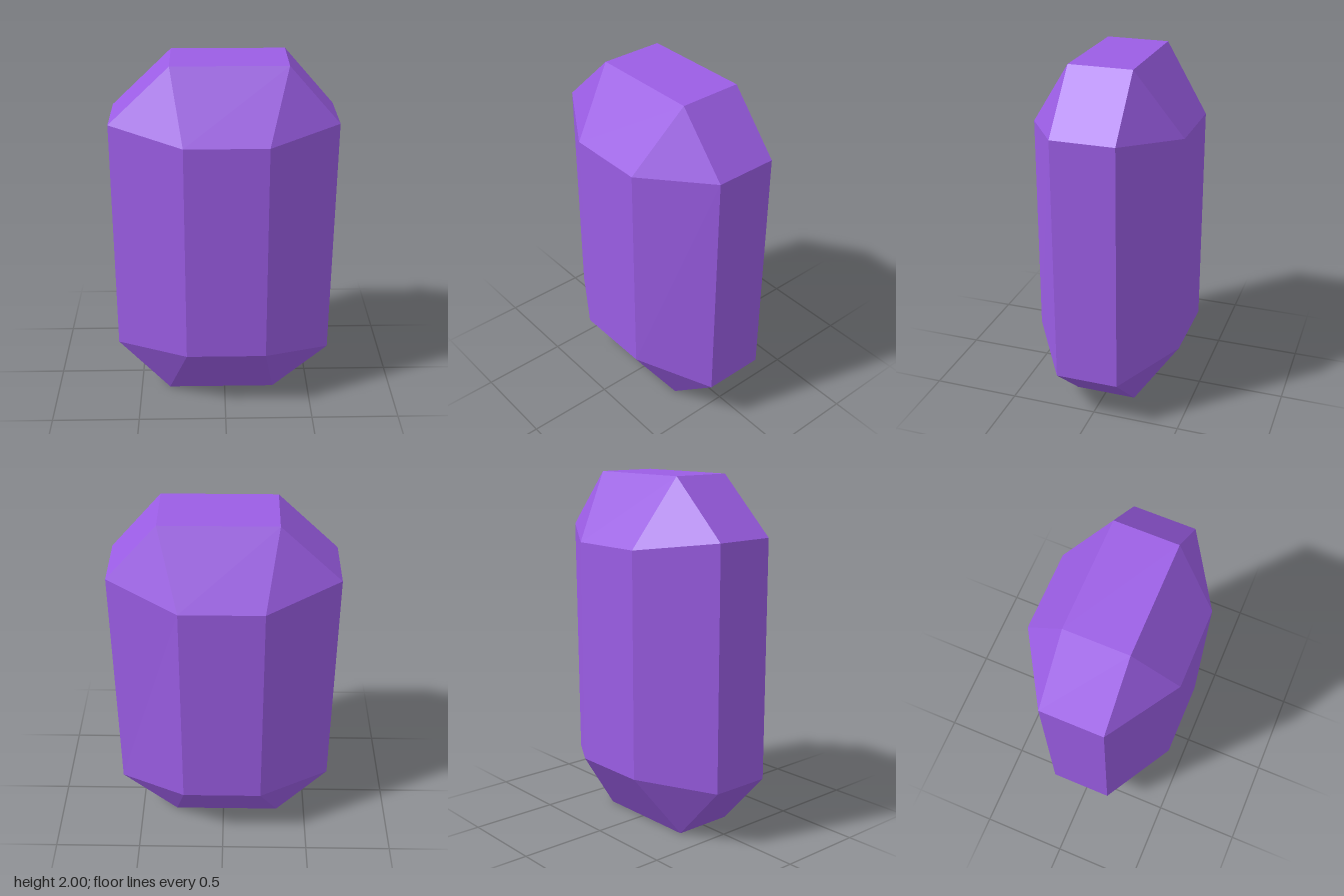
import * as THREE from 'three';

const SIDE_Z = 0.177; // half width of the narrow end faces and of the caps
const FACE_Z = 0.425; // half depth of the broad front and back faces

// Eight-corner girdle ring, counter-clockwise from above
function girdle(left, right, leftY, rightY, frontY, backY) {
  const inL = -0.22, inR = 0.23;
  return [
    [right, rightY, SIDE_Z], [right, rightY, -SIDE_Z],
    [inR, backY, -FACE_Z], [inL, backY, -FACE_Z],
    [left, leftY, -SIDE_Z], [left, leftY, SIDE_Z],
    [inL, frontY, FACE_Z], [inR, frontY, FACE_Z],
  ];
}

// Rectangular cap with doubled corners, so it lines up with the girdle
function cap(left, right, y) {
  const a = [right, y, SIDE_Z], b = [right, y, -SIDE_Z];
  const c = [left, y, -SIDE_Z], d = [left, y, SIDE_Z];
  return [a, b, b, c, c, d, d, a];
}

// Flat facets between stacked rings, closed at both ends
function facetedGeometry(rings) {
  const points = [];
  const tri = (a, b, c) => {
    if (a !== b && b !== c && c !== a) points.push(...a, ...b, ...c);
  };
  for (let k = 0; k < rings.length - 1; k++) {
    const low = rings[k], high = rings[k + 1];
    for (let i = 0; i < 8; i++) {
      const j = (i + 1) % 8;
      tri(low[i], low[j], high[j]);
      tri(low[i], high[j], high[i]);
    }
  }
  const bottom = rings[0], top = rings[rings.length - 1];
  tri(top[0], top[1], top[3]);
  tri(top[0], top[3], top[5]);
  tri(bottom[0], bottom[3], bottom[1]);
  tri(bottom[0], bottom[5], bottom[3]);

  const geometry = new THREE.BufferGeometry();
  geometry.setAttribute('position', new THREE.Float32BufferAttribute(points, 3));
  geometry.computeVertexNormals();
  return geometry;
}

export function createModel() {
  const violet = new THREE.MeshStandardMaterial({ color: 0x9b5de5, flatShading: true });
  violet.name = 'violet';

  const gem = new THREE.Mesh(facetedGeometry([
    cap(-0.33, 0.29, 0),
    girdle(-0.625, 0.61, 0.325, 0.28, 0.375, 0.355),
    girdle(-0.625, 0.62, 1.68, 1.68, 1.635, 1.625),
    cap(-0.29, 0.34, 2),
  ]), violet);
  gem.name = 'gem';

  const model = new THREE.Group();
  model.name = 'cutGem';
  model.add(gem);
  return model;
}
